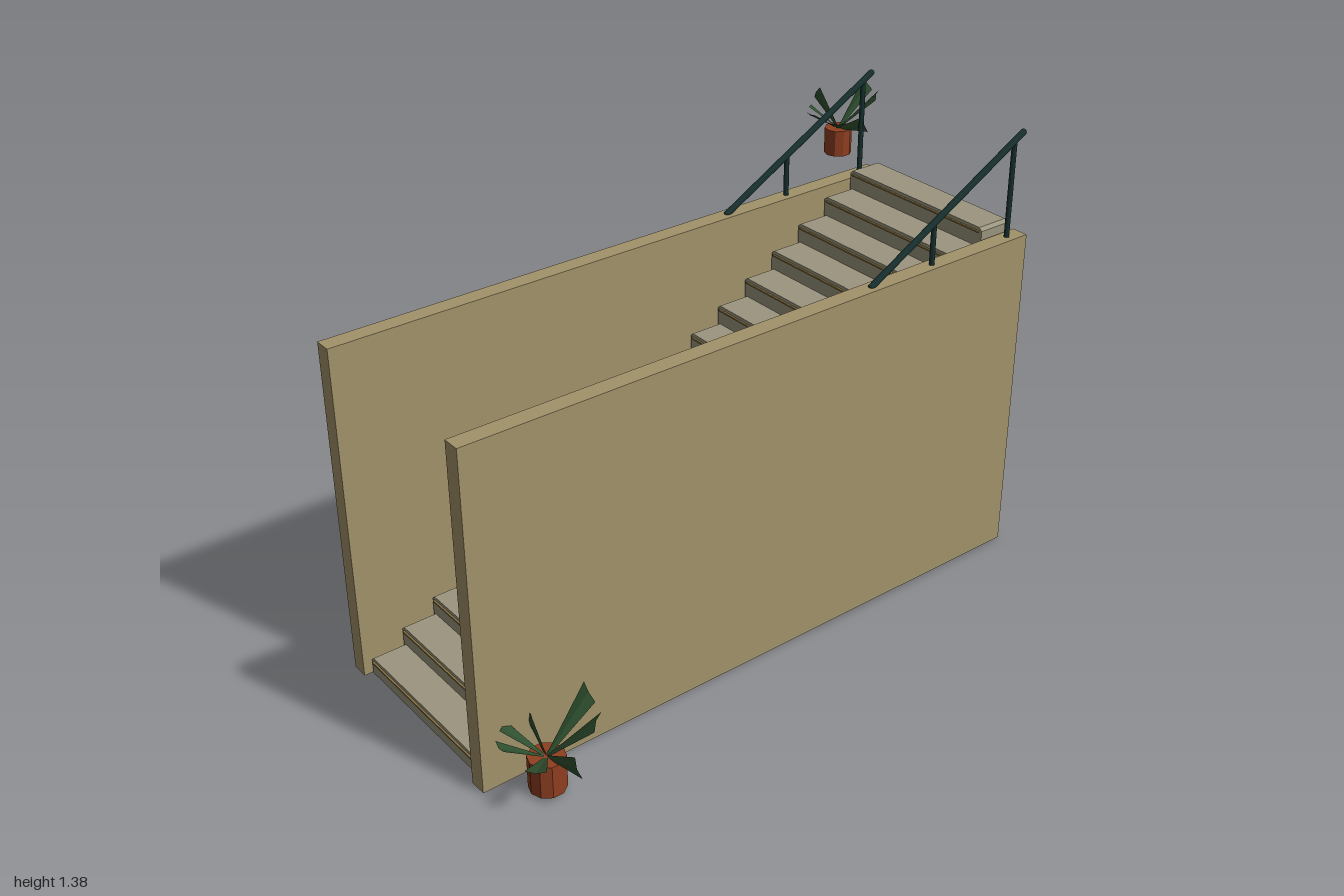
import * as THREE from 'three';

const material = (name, color, extra = {}) => {
  const m = new THREE.MeshStandardMaterial({ color, ...extra });
  m.name = name;
  return m;
};

export function createModel() {
  const root = new THREE.Group();
  const sand = material('sandstone', 0xa3936b);
  const stone = material('grey stone', 0x9b957f);
  const ochre = material('ochre edging', 0x8a7444);
  const iron = material('dark green iron', 0x17302f);
  const clay = material('terracotta', 0x8f3f20, { flatShading: true });
  const green = material('leaf green', 0x2f5030, { side: THREE.DoubleSide, flatShading: true });

  const add = (parent, name, geometry, mat, x = 0, y = 0, z = 0) => {
    const mesh = new THREE.Mesh(geometry, mat);
    mesh.name = name;
    mesh.position.set(x, y, z);
    parent.add(mesh);
    return mesh;
  };

  // Side walls
  add(root, 'rightWall', new THREE.BoxGeometry(0.053, 1.06, 1.94), sand, -0.339, 0.53, 0.03);
  add(root, 'leftWall', new THREE.BoxGeometry(0.053, 1.06, 1.94), sand, 0.292, 0.53, 0.03);

  // Solid steps with chamfered upper corners and a thin edging under each nose
  const stairs = new THREE.Group();
  stairs.name = 'stairs';
  root.add(stairs);
  const count = 18, rise = 1.092 / count, run = 1.895 / count;
  const half = 0.281, chamfer = 0.01, stairX = -0.024;
  for (let i = 0; i < count; i++) {
    const top = rise * (i + 1), front = 0.975 - run * i;
    const profile = new THREE.Shape([
      new THREE.Vector2(-half, 0.003), new THREE.Vector2(half, 0.003),
      new THREE.Vector2(half, top - chamfer), new THREE.Vector2(half - chamfer, top),
      new THREE.Vector2(-half + chamfer, top), new THREE.Vector2(-half, top - chamfer),
    ]);
    const step = new THREE.ExtrudeGeometry(profile, { depth: run, bevelEnabled: false });
    add(stairs, 'step', step, stone, stairX, 0, front - run);
    add(stairs, 'stepEdging', new THREE.BoxGeometry(half * 2 - 0.02, 0.005, 0.006),
      ochre, stairX, top - 0.013, front + 0.003);
  }

  // Sloping handrails on two posts each
  for (const [name, x] of [['rightHandrail', -0.339], ['leftHandrail', 0.292]]) {
    const rail = new THREE.Group();
    rail.name = name;
    root.add(rail);
    const from = new THREE.Vector3(0, 1.06, -0.35), to = new THREE.Vector3(0, 1.375, -0.915);
    const along = to.clone().sub(from);
    const bar = add(rail, 'railBar', new THREE.CapsuleGeometry(0.01, along.length(), 4, 12), iron);
    bar.position.copy(from).add(to).multiplyScalar(0.5);
    bar.quaternion.setFromUnitVectors(new THREE.Vector3(0, 1, 0), along.normalize());
    for (const [z, top] of [[-0.58, 1.185], [-0.883, 1.355]]) {
      const h = top - 1.05;
      add(rail, 'railPost', new THREE.CylinderGeometry(0.008, 0.008, h, 10), iron, 0, 1.05 + h / 2, z);
    }
    rail.position.x = x;
  }

  // Blunt leaf, widening from the pot to its tip and folded along the middle
  const leafGeometry = (tip, across, width) => {
    const t = new THREE.Vector3(...tip), side = new THREE.Vector3(...across).normalize();
    const fold = t.clone().cross(side).normalize();
    const points = [];
    for (const [s, w] of [[0, 0.008], [0.5, width * 0.55], [1, width]]) {
      for (const k of [-1, 0, 1]) {
        const p = t.clone().multiplyScalar(s).addScaledVector(side, k * w / 2);
        if (k === 0) p.addScaledVector(fold, -w * 0.1);
        points.push(p.x, p.y + 0.098, p.z);
      }
    }
    const index = [];
    for (let r = 0; r < 2; r++) for (let c = 0; c < 2; c++) {
      const a = r * 3 + c;
      index.push(a, a + 1, a + 4, a, a + 4, a + 3);
    }
    const g = new THREE.BufferGeometry();
    g.setAttribute('position', new THREE.Float32BufferAttribute(points, 3));
    g.setIndex(index);
    g.computeVertexNormals();
    return g;
  };

  // Leaf tip from the pot rim, width direction, width
  const leaves = [
    [[0.012, 0.155, -0.135], [1, -0.5, 0.1], 0.065],
    [[0.12, 0.15, -0.085], [0.6, -0.3, 0.8], 0.065],
    [[0.148, 0.06, -0.002], [0.5, -0.8, 0], 0.06],
    [[0.105, 0.075, 0.1], [0.75, 0.1, -0.65], 0.06],
    [[-0.028, 0.08, 0.122], [1, 0.15, 0.2], 0.06],
    [[-0.085, 0.085, 0.075], [0.6, 0.2, 0.75], 0.055],
    [[-0.152, 0.1, -0.02], [0.55, 0.8, 0.05], 0.06],
  ];
  const pottedPlant = (name, x, y, z, scale) => {
    const plant = new THREE.Group();
    plant.name = name;
    add(plant, 'pot', new THREE.CylinderGeometry(0.053, 0.053, 0.103, 10), clay, 0, 0.0515, 0);
    for (const leaf of leaves) add(plant, 'leaf', leafGeometry(...leaf), green);
    plant.position.set(x, y, z);
    plant.scale.setScalar(scale);
    root.add(plant);
  };
  pottedPlant('lowerPlant', 0.408, 0.01, 0.855, 1);
  pottedPlant('upperPlant', -0.445, 1.09, -0.885, 0.81);

  return root;
}
